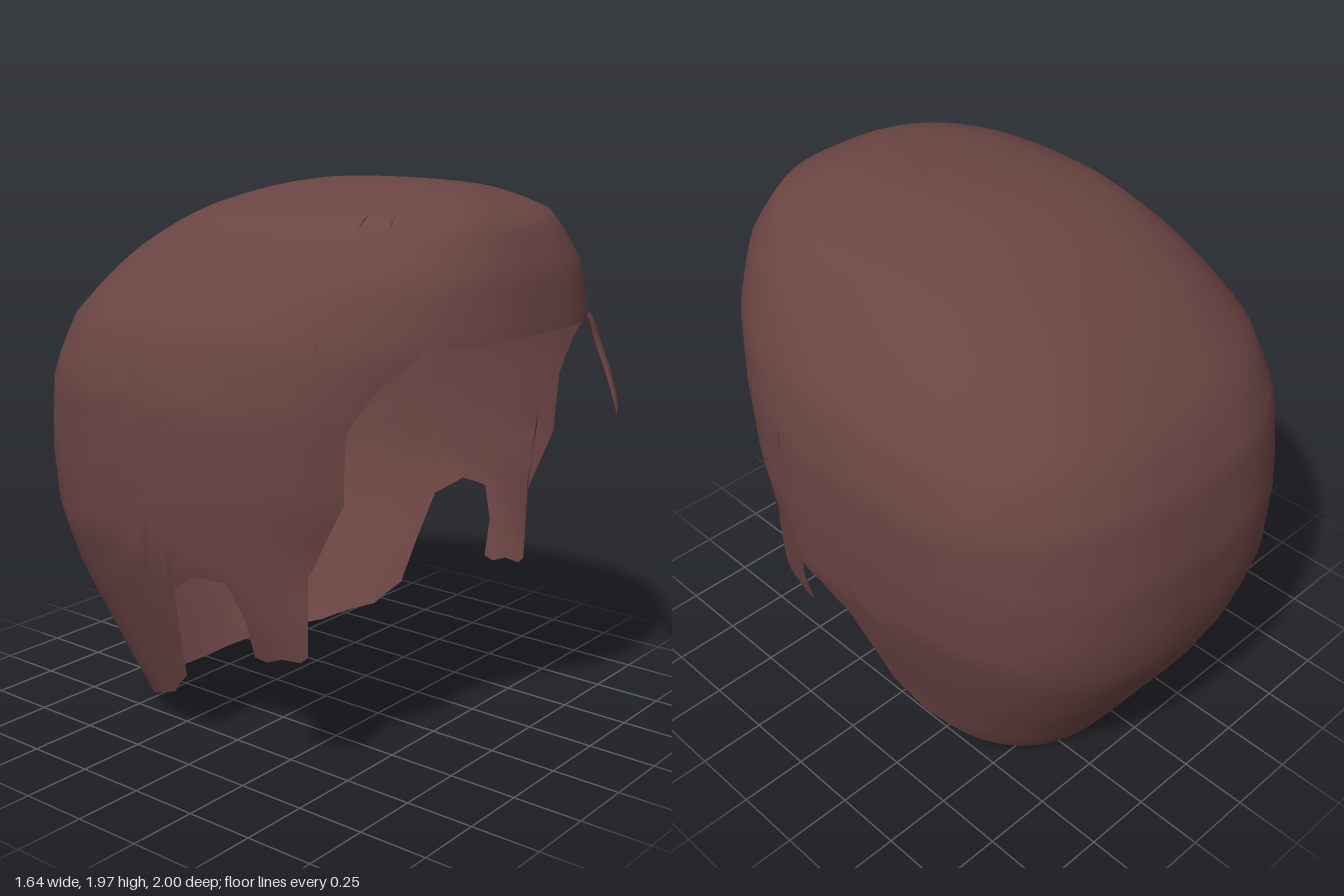
import * as THREE from 'three';

const TOP = 1.965;

// Horizontal sections: [y, half width, centre z, front z, back z, front squareness, back squareness]
const SECTIONS = [
  [1.965, 0, 0.26, 0.26, 0.26, 2.2, 2.2],
  [1.959, 0.13, 0.26, 0.53, 0.04, 2.2, 2.2],
  [1.94, 0.28, 0.25, 0.63, -0.09, 2.4, 2.4],
  [1.865, 0.51, 0.17, 0.795, -0.32, 2.6, 2.6],
  [1.7, 0.65, 0.06, 0.89, -0.62, 2.6, 2.6],
  [1.48, 0.775, -0.04, 0.94, -0.85, 2.3, 2.6],
  [1.28, 0.82, -0.08, 0.89, -0.95, 2.3, 2.6],
  [1.0, 0.817, -0.04, 0.86, -1.0, 2.2, 2.6],
  [0.76, 0.8, 0, 0.82, -0.995, 1.95, 2.6],
  [0.57, 0.74, 0, 0.82, -0.95, 2.4, 2.6],
  [0.4, 0.68, 0, 0.82, -0.87, 3, 2.6],
  [0.2, 0.613, 0, 0.82, -0.75, 3, 2.6],
  [0.08, 0.575, 0, 0.82, -0.68, 3, 2.6],
  [0, 0.535, 0, 0.82, -0.63, 3, 2.6],
];

// Hairline from forehead past the sideburn to the nape: [z, y]
const HAIRLINE = [
  [0.94, 1.515], [0.78, 1.5], [0.68, 1.385], [0.59, 1.23], [0.585, 1.01],
  [0.52, 0.88], [0.46, 0.75], [0.455, 0.48], [0.43, 0.455], [0.36, 0.455],
  [0.3, 0.43], [0.255, 0.44], [0.25, 0.58], [0.2, 0.705], [0.08, 0.71],
  [-0.04, 0.63], [-0.08, 0.45], [-0.115, 0.26], [-0.22, 0.155],
  [-0.42, 0.065], [-0.55, 0.02], [-0.63, 0],
];

// Section at height y, blended on the square root of depth so the crown is round
function sectionAt(y) {
  const depth = (h) => Math.sqrt(Math.max(0, TOP - h));
  let i = 0;
  while (i < SECTIONS.length - 2 && y < SECTIONS[i + 1][0]) i++;
  const a = SECTIONS[i], b = SECTIONS[i + 1];
  const t = (depth(y) - depth(a[0])) / (depth(b[0]) - depth(a[0]));
  return a.map((v, k) => v + (b[k] - v) * t);
}

// Point on the cap at an angle (0 = front, PI = back) and height
function capPoint(angle, y) {
  const [, w, zc, zf, zb, pf, pb] = sectionAt(y);
  const c = Math.cos(angle), p = c > 0 ? pf : pb;
  const x = w * Math.max(0, 1 - Math.abs(c) ** p) ** (1 / p);
  return new THREE.Vector3(Math.sin(angle) < 0 ? -x : x, y, zc + c * (c > 0 ? zf - zc : zc - zb));
}

// Smooth outward normal from neighbouring points of the cap
function capNormal(angle, y) {
  if (TOP - y < 0.002) return new THREE.Vector3(0, 1, 0);
  const e = Math.min(0.04, (TOP - y) * 0.6);
  const across = capPoint(angle + 0.06, y).sub(capPoint(angle - 0.06, y));
  const up = capPoint(angle, y + e).sub(capPoint(angle, y - e));
  return across.cross(up).normalize();
}

// Angle at which the section at height y reaches depth z
function angleFor(z, y) {
  const [, , zc, zf, zb] = sectionAt(y);
  return Math.acos(THREE.MathUtils.clamp((z - zc) / (z > zc ? zf - zc : zc - zb), -1, 1));
}

// Surface through rows of points, each row of equal length
function loft(rows, closed) {
  const n = rows[0].length, index = [];
  const last = closed ? rows.length : rows.length - 1;
  for (let i = 0; i < last; i++) {
    const k = (i + 1) % rows.length;
    for (let j = 0; j < n - 1; j++) {
      const a = i * n + j, b = k * n + j;
      index.push(a, a + 1, b, b, a + 1, b + 1);
    }
  }
  const g = new THREE.BufferGeometry().setFromPoints(rows.flat());
  g.setIndex(index);
  g.computeVertexNormals();
  return g;
}

function capGeometry() {
  // Columns [angle, lowest y] along one half of the hairline
  const half = [[0, HAIRLINE[0][1]]];
  for (const [z, y] of HAIRLINE.slice(1)) {
    const [a0, y0] = half[half.length - 1];
    const a1 = Math.min(Math.PI, Math.max(angleFor(z, y), a0 + 0.003));
    const steps = Math.ceil((a1 - a0) / 0.06);
    for (let s = 1; s <= steps; s++) {
      half.push([a0 + (a1 - a0) * s / steps, y0 + (y - y0) * s / steps]);
    }
  }
  // Mirror to the other side, leaving out the shared front and back columns
  const mirrored = half.slice(1, -1).reverse().map(([a, y]) => [2 * Math.PI - a, y]);
  const ROWS = 28;
  const columns = [...half, ...mirrored].map(([angle, low]) =>
    Array.from({ length: ROWS + 1 }, (_, j) => [angle, TOP - (TOP - low) * (j / ROWS) ** 2]));
  const g = loft(columns.map((col) => col.map(([a, y]) => capPoint(a, y))), true);
  columns.flat().forEach(([a, y], i) => {
    const n = capNormal(a, y);
    g.attributes.normal.setXYZ(i, n.x, n.y, n.z);
  });
  return g;
}

function strandGeometry() {
  // Cross-sections: [y, right x, right z, left x, left z, bulge]
  const cuts = [
    [1.522, 0.27, 0.89, 0.46, 0.78, 0.01],
    [1.505, 0.32, 0.88, 0.43, 0.82, 0.016],
    [1.46, 0.35, 0.88, 0.417, 0.85, 0.016],
    [1.4, 0.363, 0.895, 0.418, 0.88, 0.014],
    [1.33, 0.367, 0.925, 0.415, 0.915, 0.011],
    [1.26, 0.36, 0.957, 0.4, 0.95, 0.008],
    [1.21, 0.345, 0.985, 0.378, 0.975, 0.005],
    [1.185, 0.33, 0.998, 0.335, 0.996, 0],
  ];
  const SIDES = 8;
  return loft(cuts.map(([y, x0, z0, x1, z1, bulge]) =>
    Array.from({ length: SIDES + 1 }, (_, j) => {
      const a = (j / SIDES) * Math.PI * 2;
      const t = (1 - Math.cos(a)) / 2;
      return new THREE.Vector3(x0 + (x1 - x0) * t, y, z0 + (z1 - z0) * t + Math.sin(a) * bulge);
    })), false);
}

export function createModel() {
  const group = new THREE.Group();
  group.name = 'hair';
  const material = new THREE.MeshStandardMaterial({ color: 0x6b4543, side: THREE.DoubleSide });
  const add = (name, geometry) => {
    const mesh = new THREE.Mesh(geometry, material);
    mesh.name = name;
    group.add(mesh);
  };
  add('hairCap', capGeometry());
  add('foreheadStrand', strandGeometry());
  return group;
}
